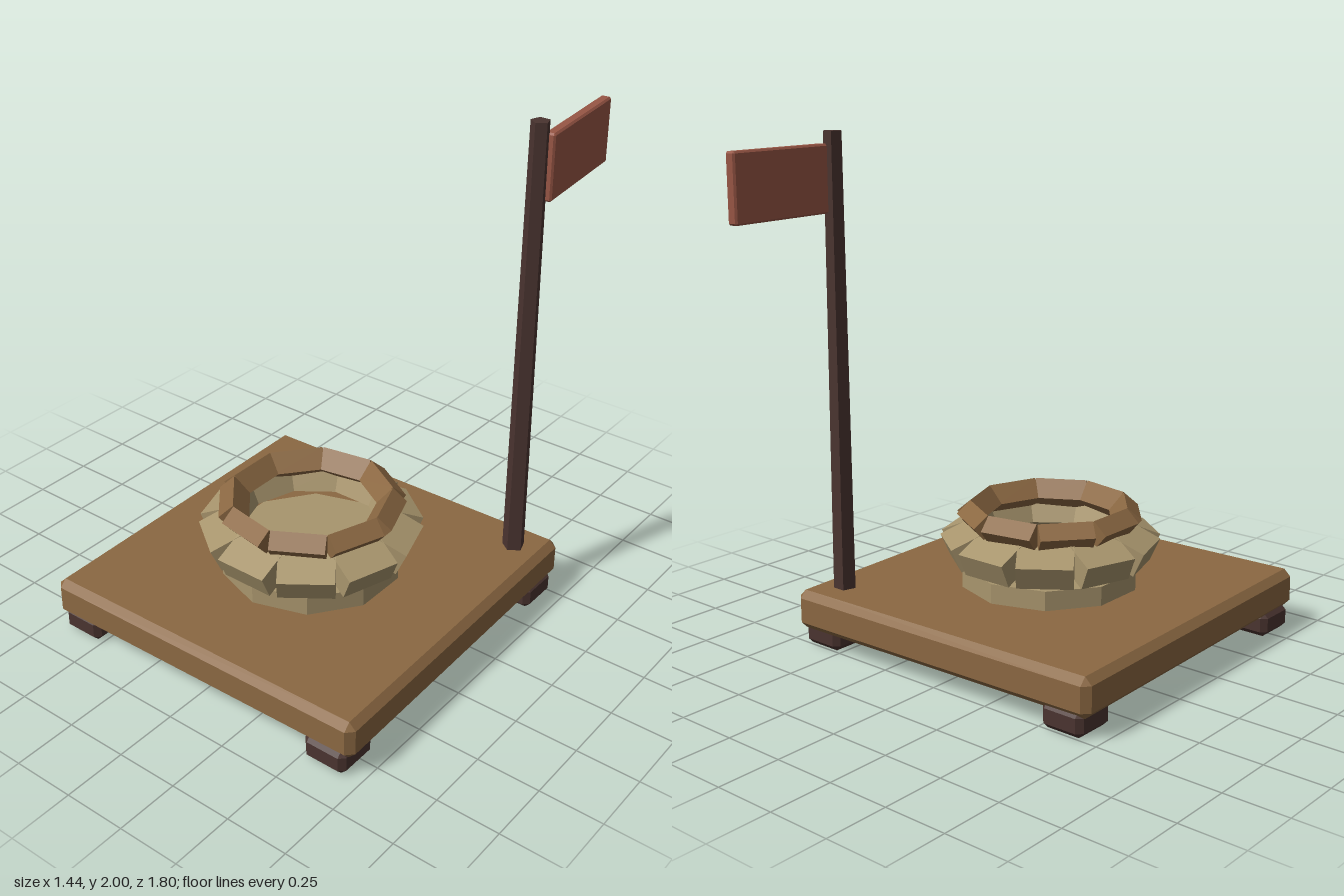
import * as THREE from 'three';
import { ConvexGeometry } from 'three/addons/geometries/ConvexGeometry.js';

// Box with flat chamfered edges
function chamferBox(w, h, d, c) {
  const pts = [];
  for (const x of [-1, 1]) for (const y of [-1, 1]) for (const z of [-1, 1]) {
    for (const [a, b, e] of [[0, c, c], [c, 0, c], [c, c, 0]]) {
      pts.push(new THREE.Vector3(x * (w / 2 - a), y * (h / 2 - b), z * (d / 2 - e)));
    }
  }
  return new ConvexGeometry(pts);
}

export function createModel() {
  const model = new THREE.Group();
  const flat = (name, color) => new THREE.MeshStandardMaterial({ name, color, flatShading: true });
  const wood = flat('brown wood', 0x8b6842);
  const darkWood = flat('dark wood', 0x4a3430);
  const stone = flat('tan stone', 0xa8956d);
  const cloth = flat('red cloth', 0x985645);
  const centreZ = 0.18;

  const add = (parent, name, geometry, material, x, y, z) => {
    const mesh = new THREE.Mesh(geometry, material);
    mesh.name = name;
    mesh.position.set(x, y, z);
    parent.add(mesh);
    return mesh;
  };

  // Slightly skewed platform on four feet
  const platform = add(model, 'platform', chamferBox(1.41, 0.155, 1.41, 0.028), wood, 0, 0.161, 0.175);
  platform.rotation.set(-0.005, 0.022, -0.004);
  const footGeometry = chamferBox(0.18, 0.1, 0.18, 0.022);
  for (const x of [-1, 1]) for (const z of [-1, 1]) {
    add(model, 'foot', footGeometry, darkWood, x * 0.597, 0.054, centreZ + z * 0.597);
  }

  // Ten-sided well floor
  add(model, 'wellFloor', new THREE.CylinderGeometry(0.355, 0.355, 0.1, 10), stone, 0, 0.265, centreZ);

  // Ring of blocks, each leaning outward at the top
  const ring = (name, count, start, size, radius, y, tilt, material) => {
    const group = new THREE.Group();
    group.name = name;
    group.position.set(0, y, centreZ);
    const geometry = new THREE.BoxGeometry(...size);
    for (let i = 0; i < count; i++) {
      const pivot = new THREE.Group();
      pivot.rotation.y = start + (i * Math.PI * 2) / count;
      add(pivot, name + 'Block', geometry, material, 0, 0, radius).rotation.x = tilt;
      group.add(pivot);
    }
    model.add(group);
  };
  ring('stoneRing', 10, 0, [0.215, 0.1, 0.135], 0.338, 0.407, 0.42, stone);
  ring('woodenRim', 9, -Math.PI / 2, [0.21, 0.09, 0.075], 0.294, 0.506, 0.72, wood);

  // Five-sided tapering flagpole
  add(model, 'flagpole', new THREE.CylinderGeometry(0.036, 0.045, 1.8, 5), darkWood, 0.567, 1.1, -0.395);

  // Flag panel pointing backwards
  const flag = add(model, 'flag', chamferBox(0.043, 0.255, 0.485, 0.007), cloth, 0.568, 1.825, -0.66);
  flag.rotation.y = 0.1;

  return model;
}
